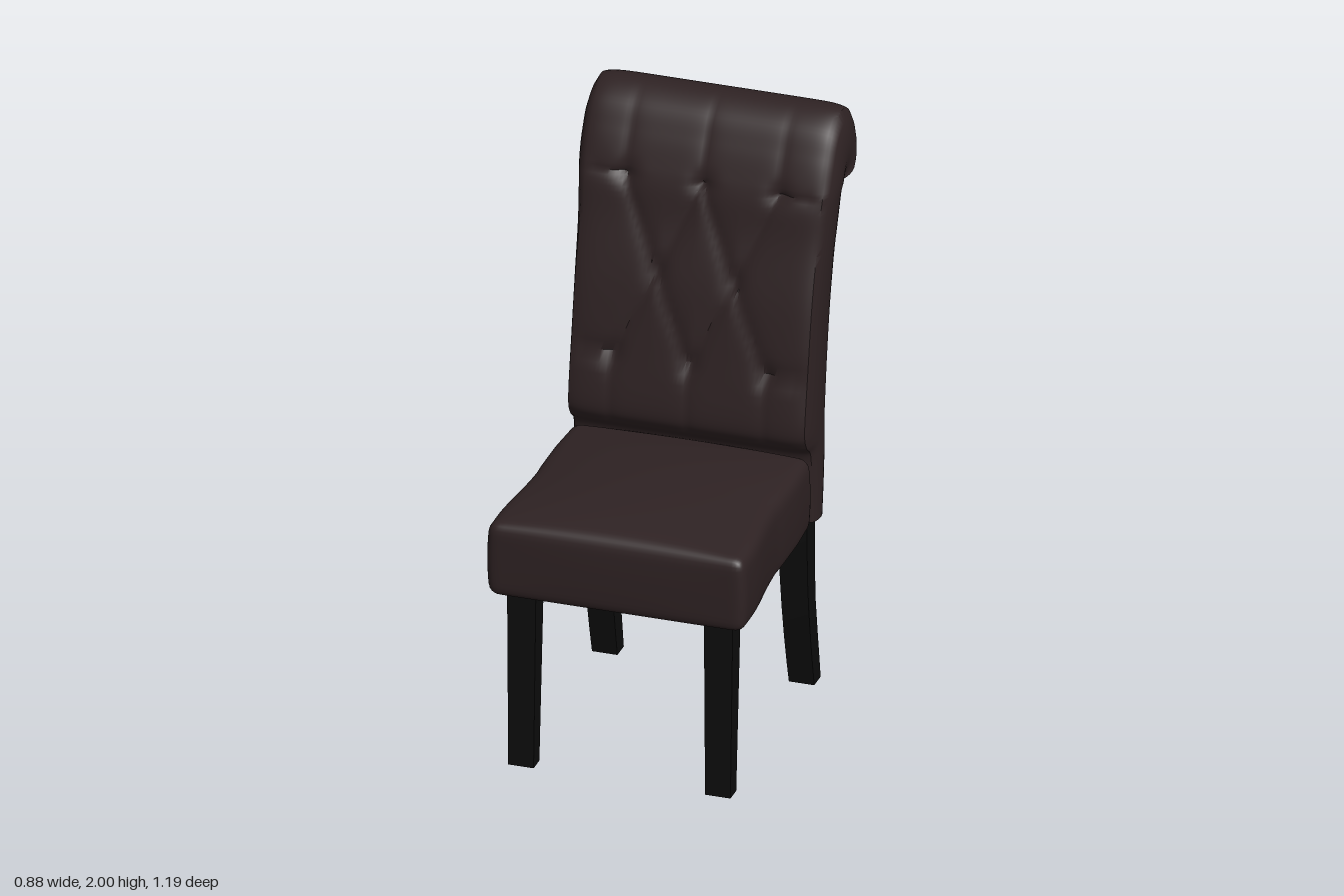
import * as THREE from 'three';
import { mergeVertices, toCreasedNormals } from 'three/addons/utils/BufferGeometryUtils.js';

const upholstery = new THREE.MeshStandardMaterial({ color: 0x2e2223 });
upholstery.name = 'dark brown leather';
const wood = new THREE.MeshStandardMaterial({ color: 0x0d0d0d });
wood.name = 'black wood';
const lining = new THREE.MeshStandardMaterial({ color: 0x3a311e });
lining.name = 'olive lining';

const { clamp, smoothstep, lerp } = THREE.MathUtils;

function part(name, geometry, material) {
  const mesh = new THREE.Mesh(geometry, material);
  mesh.name = name;
  return mesh;
}

// Side profile of the backrest as (z, y): the front runs up and around the roll
const curve = (points) => new THREE.SplineCurve(points.map(([z, y]) => new THREE.Vector2(z, y)));
const frontCurve = curve([
  [-0.195, 0.635], [-0.19, 0.8], [-0.18, 0.885], [-0.138, 0.93], [-0.12, 1.0], [-0.153, 1.2],
  [-0.19, 1.4], [-0.242, 1.6], [-0.268, 1.72], [-0.297, 1.8], [-0.335, 1.88], [-0.39, 1.96],
  [-0.48, 2.0], [-0.56, 1.966], [-0.594, 1.88], [-0.57, 1.8], [-0.515, 1.756], [-0.465, 1.745],
]);
const rearCurve = curve([
  [-0.3, 0.635], [-0.318, 0.8], [-0.325, 0.9], [-0.33, 0.95], [-0.335, 1.0], [-0.36, 1.2],
  [-0.395, 1.4], [-0.435, 1.6], [-0.465, 1.745],
]);

// Tufting seams on one half (x >= 0): a diamond lattice with straight pleats
const seams = [
  [0, 2.1, 0, 1.75], [0.26, 2.1, 0.26, 1.75], [0, 1.75, 0.13, 1.45], [0.26, 1.75, 0.13, 1.45],
  [0.13, 1.45, 0, 1.16], [0.13, 1.45, 0.26, 1.16], [0, 1.16, 0, 0.85], [0.26, 1.16, 0.26, 0.85],
  [0.26, 1.75, 0.36, 1.76], [0.26, 1.16, 0.36, 1.17],
];
const tufts = [[0, 1.75], [0.26, 1.75], [0.13, 1.45], [0, 1.16], [0.26, 1.16]];

function tuftDepth(x, y) {
  const ax = Math.abs(x);
  let d = 1;
  for (const [x1, y1, x2, y2] of seams) {
    const dx = x2 - x1, dy = y2 - y1;
    const t = clamp(((ax - x1) * dx + (y - y1) * dy) / (dx * dx + dy * dy), 0, 1);
    d = Math.min(d, Math.hypot(ax - x1 - t * dx, y - y1 - t * dy));
  }
  const straight = y > 1.75 || y < 1.16 ? 0.45 : 1;
  let depth = 0.014 * straight * Math.exp(-d / 0.025);
  for (const [tx, ty] of tufts) {
    depth += 0.016 * Math.exp(-((ax - tx) ** 2 + (y - ty) ** 2) / 0.0012);
  }
  return depth;
}

function backrestGeometry() {
  const rows = 102, nx = 64, ns = 8, nb = 40, half = 0.4;
  const rings = [];
  for (let i = 0; i <= rows; i++) {
    const u = i / rows;
    const f = frontCurve.getPoint(u);
    const b = rearCurve.getPoint(Math.min(1, (u * 17) / 8));
    const inward = b.clone().sub(f);
    const length = inward.length();
    if (length > 1e-6) inward.divideScalar(length);
    const w = half + 0.008 * smoothstep(f.y, 1.5, 1.85);
    const bulge = (0.016 + 0.016 * smoothstep(f.y, 1.3, 1.85)) * Math.min(1, length / 0.12);
    const fade = smoothstep(u * 17, 2, 4) * (1 - smoothstep(u * 17, 9.5, 12.5));
    const ring = [];
    // tufted front
    for (let j = 0; j < nx; j++) {
      const x = lerp(-w, w, j / nx);
      const round = 0.012 * Math.abs(x / w) ** 14;
      const d = Math.min(length, tuftDepth(x, f.y) * fade + round);
      ring.push([x, f.y + inward.y * d, f.x + inward.x * d]);
    }
    const side = (sign, s) => {
      const start = Math.min(length, 0.012);
      const k = lerp(start, length, s);
      return [sign * (w + bulge * Math.sin(Math.PI * s) ** 0.7),
        f.y + inward.y * k, f.x + inward.x * k];
    };
    for (let j = 0; j < ns; j++) ring.push(side(1, j / ns));
    // rear with shallow vertical channels
    for (let j = 0; j < nb; j++) {
      const x = lerp(w, -w, j / nb);
      const d = Math.min(Math.abs(x), Math.abs(Math.abs(x) - 0.2));
      const dent = u * 17 < 8 ? 0.007 * Math.exp(-d / 0.02) : 0;
      ring.push([x, b.y, b.x + dent]);
    }
    for (let j = 0; j < ns; j++) ring.push(side(-1, 1 - j / ns));
    rings.push(ring);
  }
  // close the bottom
  rings.unshift(rings[0].map(([x, y]) => [x, y, -0.25]));

  const n = rings[0].length;
  const position = rings.flat(2);
  const at = (k) => new THREE.Vector3().fromArray(position, k * 3);
  const index = [];
  const triangle = (a, b, c) => {
    const A = at(a);
    if (at(b).sub(A).cross(at(c).sub(A)).length() > 1e-9) index.push(a, b, c);
  };
  for (let i = 0; i < rings.length - 1; i++) {
    for (let j = 0; j < n; j++) {
      const a = i * n + j, b = i * n + ((j + 1) % n);
      triangle(a, b, b + n);
      triangle(a, b + n, a + n);
    }
  }
  const g = new THREE.BufferGeometry();
  g.setAttribute('position', new THREE.Float32BufferAttribute(position, 3));
  g.setIndex(index);
  return toCreasedNormals(g, 0.75);
}

// Rounded cushion with a crowned top, flared towards the front
function seatGeometry() {
  const g = new THREE.BoxGeometry(2, 2, 2, 36, 16, 36);
  g.deleteAttribute('normal');
  g.deleteAttribute('uv');
  const p = g.attributes.position;
  const size = new THREE.Vector3(0.41, 0.13, 0.39), r = 0.035;
  const inner = size.clone().subScalar(r);
  const v = new THREE.Vector3(), core = new THREE.Vector3();
  for (let i = 0; i < p.count; i++) {
    v.fromBufferAttribute(p, i);
    v.set(...v.toArray().map((c) => Math.sin((c * Math.PI) / 2))).multiply(size);
    core.copy(v).clamp(inner.clone().negate(), inner);
    v.sub(core).setLength(r).add(core);
    const a = v.x / size.x, h = v.y / size.y, c = v.z / size.z;
    const z = v.z + 0.2;
    const flare = 0.022 * smoothstep(z, 0.2, 0.5) + 0.008 * (1 - h * h)
      - 0.005 * Math.exp(-Math.abs(z - 0.18) / 0.02) - 0.008 * (1 - smoothstep(z, -0.19, 0));
    const crown = h > 0 ? 0.05 * h * (1 - a * a) ** 0.8 * (1 - c * c) ** 0.7 : 0;
    p.setXYZ(i, v.x + a * flare, v.y + 0.75 + (crown || 0),
      z + (c > 0 ? 0.006 * c * (1 - h * h) * (1 - a * a) : 0));
  }
  const merged = mergeVertices(g, 1e-5);
  merged.computeVertexNormals();
  return merged;
}

// Square leg following rows of [y, front z, rear z, half width], bottom to top
function legGeometry(rows) {
  const g = new THREE.BoxGeometry(2, 1, 2, 1, rows.length - 1, 1);
  const p = g.attributes.position;
  for (let i = 0; i < p.count; i++) {
    const k = Math.round((p.getY(i) + 0.5) * (rows.length - 1));
    const [y, front, rear, w] = rows[k];
    p.setXYZ(i, p.getX(i) * w, y, p.getZ(i) > 0 ? front : rear);
  }
  g.computeVertexNormals();
  return g;
}

export function createModel() {
  const chair = new THREE.Group();
  chair.name = 'chair';
  chair.add(part('backrest', backrestGeometry(), upholstery));
  chair.add(part('seat', seatGeometry(), upholstery));

  const panel = part('seatLining', new THREE.BoxGeometry(0.72, 0.006, 0.66), lining);
  panel.position.set(0, 0.618, 0.18);
  chair.add(panel);

  const frontLeg = legGeometry([[0, 0.541, 0.483, 0.043], [0.66, 0.535, 0.455, 0.049]]);
  const rearLeg = legGeometry([
    [0, -0.3, -0.364, 0.043], [0.08, -0.28, -0.348, 0.044], [0.18, -0.258, -0.328, 0.045],
    [0.3, -0.236, -0.306, 0.046], [0.42, -0.22, -0.295, 0.047], [0.54, -0.21, -0.288, 0.049],
    [0.66, -0.206, -0.286, 0.049],
  ]);
  for (const [side, x] of [['left', 0.333], ['right', -0.333]]) {
    for (const [name, geometry] of [['FrontLeg', frontLeg], ['RearLeg', rearLeg]]) {
      const leg = part(side + name, geometry, wood);
      leg.position.x = x;
      chair.add(leg);
    }
  }
  return chair;
}
